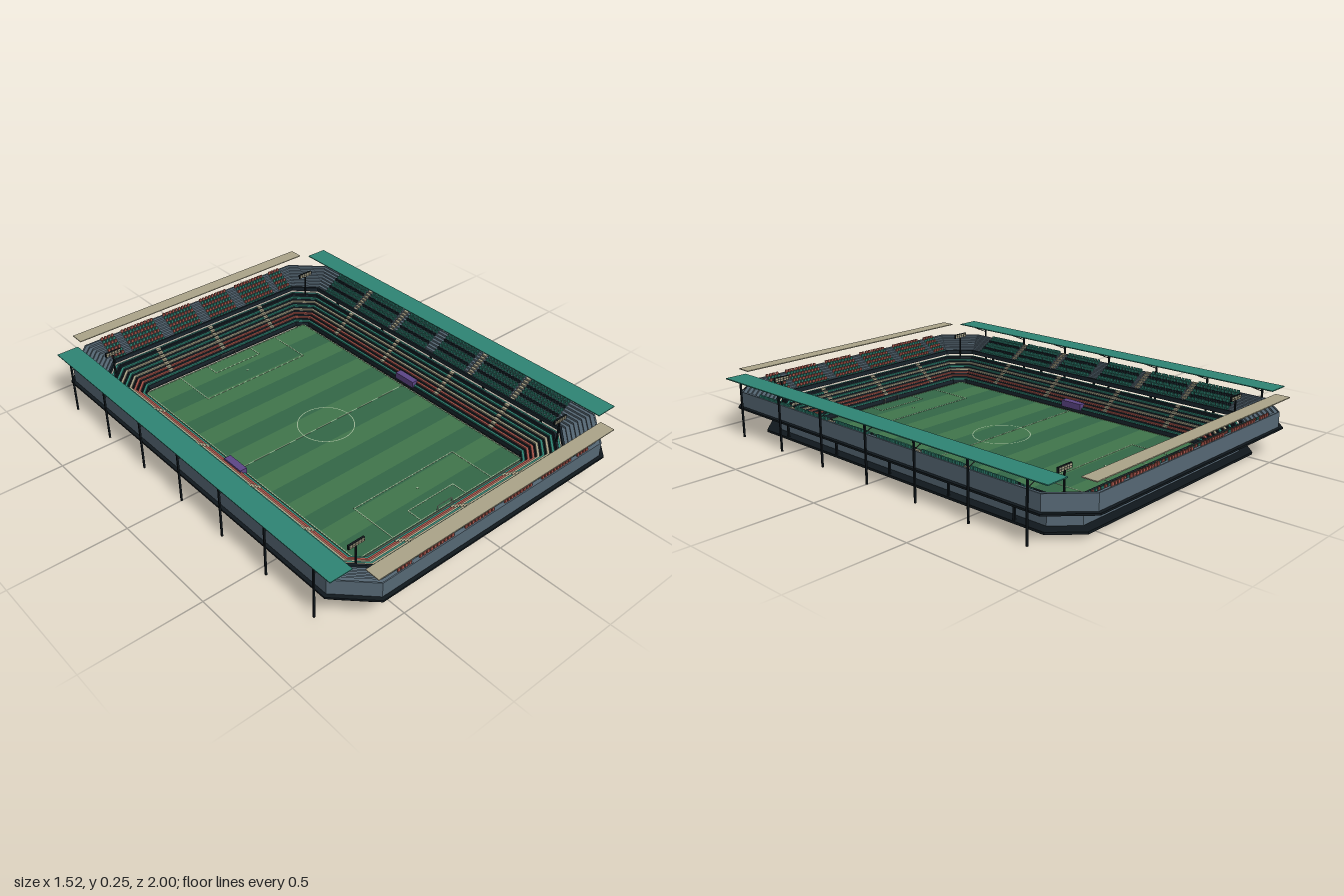
import * as THREE from 'three';
import { mergeGeometries } from 'three/addons/utils/BufferGeometryUtils.js';

const C = {
  slate: 0x566875, dark: 0x18232b, black: 0x10181d, teal: 0x2f8575, red: 0xa8554b, tan: 0xaca58a,
  grass: 0x41764c, grassDark: 0x346847, line: 0x9bb594, purple: 0x5d4687, soil: 0x55554f, white: 0xd8dcd0,
};
const mats = {};
function mat(color) {
  mats[color] ??= new THREE.MeshStandardMaterial({ color });
  return mats[color];
}

// Chamfered rectangle at distance d outside the pitch surround
function outline(d) {
  const x = 0.475 + d, z = 0.73 + d, c = 0.045 + 0.36 * d;
  return [[x, z - c], [x, c - z], [x - c, -z], [c - x, -z], [-x, c - z], [-x, z - c], [c - x, z], [x - c, z]];
}

// Sweep a profile of [distance, height] pairs around the stadium
function ringGeometry(profile) {
  const pos = [];
  for (let j = 0; j + 1 < profile.length; j++) {
    const [d0, y0] = profile[j], [d1, y1] = profile[j + 1];
    const a = outline(d0), b = outline(d1);
    for (let i = 0; i < 8; i++) {
      const k = (i + 1) % 8;
      const A = [a[i][0], y0, a[i][1]], B = [a[k][0], y0, a[k][1]];
      const D = [b[i][0], y1, b[i][1]], E = [b[k][0], y1, b[k][1]];
      pos.push(...A, ...D, ...E, ...A, ...E, ...B);
    }
  }
  const g = new THREE.BufferGeometry();
  g.setAttribute('position', new THREE.Float32BufferAttribute(pos, 3));
  g.computeVertexNormals();
  return g;
}
const band = (d0, d1, y0, y1) => [[d0, y0], [d0, y1], [d1, y1], [d1, y0], [d0, y0]];

function box(w, h, d, x, y, z) {
  return new THREE.BoxGeometry(w, h, d).translate(x, y, z);
}

// Thin bar between two points
function bar(p, q, r) {
  const a = new THREE.Vector3(...p), b = new THREE.Vector3(...q);
  return new THREE.TubeGeometry(new THREE.LineCurve3(a, b), 1, r, 6);
}

export function createModel() {
  const root = new THREE.Group();
  root.name = 'stadium';
  const add = (name, geo, color) => {
    const m = new THREE.Mesh(Array.isArray(geo) ? mergeGeometries(geo) : geo, mat(color));
    m.name = name;
    root.add(m);
    return m;
  };
  const both = [-1, 1];

  // Pitch: soil plate with mown stripes
  add('pitchBase', box(0.925, 0.008, 1.42, 0, 0.004, 0), C.soil);
  const stripes = [[], []];
  for (let i = 0; i < 14; i++) {
    const edge = i === 0 || i === 13;
    const z = -0.65 + i * 0.1 + (i === 0 ? -0.005 : i === 13 ? 0.005 : 0);
    stripes[i % 2].push(box(0.925, 0.003, edge ? 0.11 : 0.1, 0, 0.0095, z));
  }
  add('lightStripes', stripes[0], C.grass);
  add('darkStripes', stripes[1], C.grassDark);

  // Pitch markings
  const lw = 0.004, ly = 0.0115;
  const lines = [box(0.92, 0.001, lw, 0, ly, 0),
    new THREE.RingGeometry(0.122, 0.126, 48).rotateX(-Math.PI / 2).translate(0, 0.012, 0)];
  for (const s of both) {
    lines.push(box(lw, 0.001, 1.41, s * 0.459, ly, 0), box(0.92, 0.001, lw, 0, ly, s * 0.706));
    for (const [hw, zi] of [[0.275, 0.488], [0.125, 0.635]]) {
      lines.push(box(hw * 2, 0.001, lw, 0, ly, s * zi));
      for (const t of both) lines.push(box(lw, 0.001, 0.706 - zi, t * hw, ly, s * (zi + 0.706) / 2));
    }
    lines.push(box(0.008, 0.001, 0.008, 0, ly, s * 0.56));
  }
  add('pitchLines', lines, C.line);

  // Goals
  const goals = [];
  for (const s of both) {
    for (const t of both) {
      goals.push(bar([t * 0.04, 0.01, s * 0.708], [t * 0.04, 0.036, s * 0.708], 0.0015));
      goals.push(bar([t * 0.04, 0.036, s * 0.708], [t * 0.04, 0.01, s * 0.728], 0.001));
    }
    goals.push(bar([-0.04, 0.036, s * 0.708], [0.04, 0.036, s * 0.708], 0.0015));
  }
  add('goals', goals, C.white);

  // Ground slab and lower bowl
  add('groundSlab', ringGeometry(band(0, 0.17, 0, 0.01)), C.black);
  const rows = 8, step = 0.125 / rows;
  const lowY = r => 0.025 + r * 0.0114;
  const low = [[0, 0.01]];
  for (let r = 0; r < rows; r++) low.push([r * step, lowY(r)], [(r + 1) * step, lowY(r)]);
  low.push([0.125, 0.11]);
  add('lowerTerraces', ringGeometry(low), C.dark);
  add('lowerFacade', ringGeometry([[0.121, 0.104], [0.121, 0.11], [0.125, 0.11], [0.125, 0.01]]), C.slate);
  add('facadeTrim', ringGeometry(band(0.12, 0.127, 0.108, 0.112)), C.teal);

  // Lower seat rows, one coloured band per terrace
  [C.teal, C.red, C.red, C.tan, C.teal, C.tan, C.teal, C.dark].forEach((color, r) => {
    add('lowerSeatRow', ringGeometry(band(r * step + 0.003, r * step + 0.012, lowY(r), lowY(r) + 0.006)), color);
  });

  // Lower stairways
  const stairs = [];
  for (let r = 1; r < rows; r++) {
    const d = (r + 0.5) * step, y = lowY(r) + 0.004;
    for (const s of both) {
      for (const z of [-0.5, -0.175, 0.175, 0.5]) stairs.push(box(step * 0.8, 0.008, 0.022, s * (0.475 + d), y, z));
      for (const x of [-0.295, 0, 0.295]) stairs.push(box(0.022, 0.008, step * 0.8, x, y, s * (0.73 + d)));
    }
  }
  add('lowerStairs', stairs, C.tan);

  // Upper tier: parapet, terraces and outer wall over a ring slab
  const upRows = 8, upStep = 0.108 / upRows;
  const upD = r => 0.137 + r * upStep, upY = r => 0.127 + r * 0.0083;
  const up = [];
  for (let r = 0; r < upRows; r++) up.push([upD(r), r ? upY(r) : 0.12], [upD(r), upY(r)]);
  const upper = [[upD(0), 0.12]];
  for (let r = 0; r < upRows; r++) upper.push([upD(r), upY(r)], [upD(r + 1), upY(r)]);
  upper.push([upD(upRows), 0.188], [0.25, 0.188], [0.25, 0.12]);
  add('upperTier', ringGeometry(upper), C.slate);
  add('upperParapet', ringGeometry(band(0.129, 0.137, 0.118, 0.137)), C.dark);
  add('upperSlab', ringGeometry(band(0.185, 0.265, 0.116, 0.124)), C.black);

  // Upper seats in blocks between stairways
  const seats = { [C.teal]: [], [C.red]: [], [C.dark]: [] };
  const upStairs = [];
  const sideAisles = [-0.5, -0.25, 0, 0.25, 0.5], endAisles = [-0.43, -0.215, 0, 0.215, 0.43];
  const clear = (v, list) => list.every(a => Math.abs(v - a) > 0.024);
  for (let r = 0; r < upRows; r++) {
    const d = upD(r) + upStep * 0.6, y = upY(r) + 0.007;
    const sideColor = r % 3 === 2 ? C.dark : C.teal;
    const endColor = r % 2 ? C.red : C.teal;
    for (const s of both) {
      for (let i = -41; i <= 41; i++) {
        const v = i * 0.0175;
        if (Math.abs(v) < 0.73 && clear(v, sideAisles)) {
          seats[r === 7 ? C.teal : sideColor].push(box(0.006, 0.014, 0.012, s * (0.475 + d), y, v));
        }
        if (Math.abs(v) < 0.515 && clear(v, endAisles)) {
          seats[endColor].push(box(0.012, 0.014, 0.006, v, y, s * (0.73 + d)));
        }
      }
      for (const z of sideAisles) {
        if (z) upStairs.push(box(upStep * 0.8, 0.006, 0.022, s * (0.475 + d), upY(r) + 0.003, z));
      }
    }
  }
  for (const color of Object.keys(seats)) add('upperSeats', seats[color], Number(color));
  add('upperStairs', upStairs, C.tan);

  // Roofs: long sides teal, ends tan
  for (const s of both) {
    add('sideRoof', box(0.1, 0.004, 1.81, s * 0.71, 0.243, 0), C.teal);
    add('endRoof', box(1.26, 0.004, 0.065, 0, 0.243, s * 0.9675), C.tan);
  }

  // Roof columns with braces, and short columns under the slab
  const columns = [], short = [];
  for (const s of both) {
    for (let i = -3; i <= 3; i++) {
      const z = i * 0.27;
      columns.push(box(0.007, 0.242, 0.007, s * 0.75, 0.121, z));
      columns.push(bar([s * 0.75, 0.205, z], [s * 0.664, 0.241, z], 0.002));
    }
    for (const z of [-0.65, -0.325, 0, 0.325, 0.65]) short.push(box(0.008, 0.108, 0.008, s * 0.635, 0.064, z));
  }
  add('roofColumns', columns, C.black);
  add('slabColumns', short, C.black);

  // Floodlights at the four corners
  const masts = [], lamps = [];
  for (const s of both) {
    for (const t of both) {
      const x = s * 0.55, z = t * 0.8;
      masts.push(box(0.006, 0.12, 0.006, x, 0.15, z), box(0.075, 0.02, 0.008, x, 0.219, z));
      for (let i = 0; i < 5; i++) {
        for (const h of both) lamps.push(box(0.011, 0.007, 0.011, x + (i - 2) * 0.014, 0.219 + h * 0.0045, z));
      }
    }
  }
  add('floodlightMasts', masts, C.black);
  add('floodlightLamps', lamps, C.tan);

  // Team shelters on the halfway line
  for (const s of both) add('teamShelter', box(0.032, 0.03, 0.11, s * 0.484, 0.035, 0), C.purple);

  return root;
}
